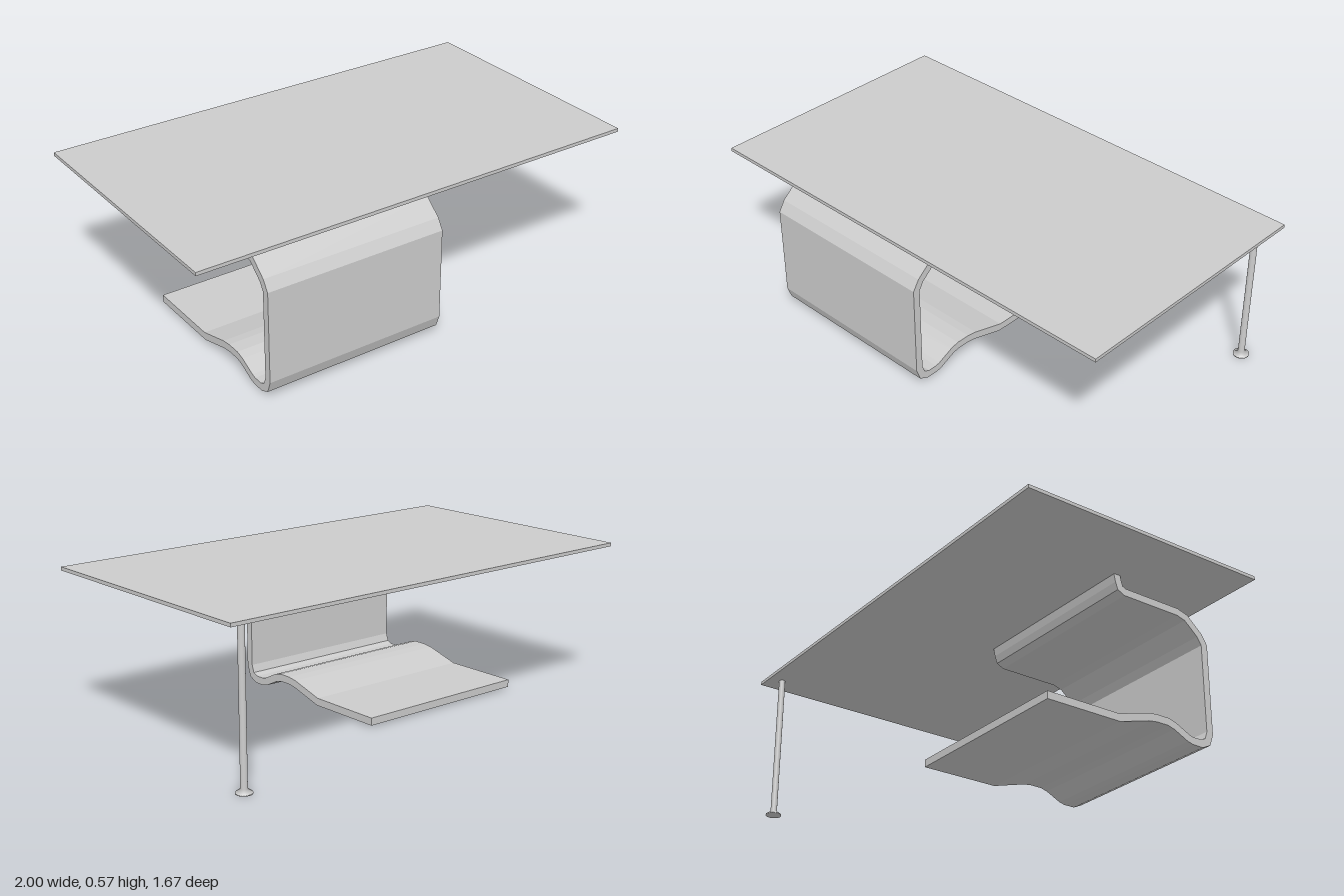
import * as THREE from 'three';

const material = new THREE.MeshStandardMaterial({ color: 0xcccccc });

function addMesh(parent, geometry, name) {
  const mesh = new THREE.Mesh(geometry, material);
  mesh.name = name;
  parent.add(mesh);
  return mesh;
}

// Outline of a bent sheet: offsets a centre line to both sides with mitred corners
function sheetShape(line, thickness) {
  const pts = line.map(([x, y]) => new THREE.Vector2(x, y));
  const normals = pts.slice(1).map((p, i) => {
    const d = p.clone().sub(pts[i]).normalize();
    return new THREE.Vector2(-d.y, d.x);
  });
  const upper = [], lower = [];
  pts.forEach((p, i) => {
    const a = normals[Math.max(i - 1, 0)];
    const b = normals[Math.min(i, normals.length - 1)];
    const m = a.clone().add(b).normalize();
    m.multiplyScalar(thickness / 2 / m.dot(a));
    upper.push(p.clone().add(m));
    lower.push(p.clone().sub(m));
  });
  return new THREE.Shape([...upper, ...lower.reverse()]);
}

export function createModel() {
  const group = new THREE.Group();
  group.name = 'desk';

  // Everything is laid out along the table, then turned as a whole
  const desk = new THREE.Group();
  desk.name = 'turnedDesk';
  desk.rotation.y = 0.478;
  group.add(desk);

  // Thin rectangular top
  addMesh(desk, new THREE.BoxGeometry(1.744, 0.013, 0.98), 'tableTop')
    .position.y = 0.5685;

  // Bent sheet support: foot plate, hump, trough, upright, upper shelf, lip
  const profile = [
    [-0.23, 0.021], [0.069, 0.021], [0.2, 0.058], [0.235, 0.063],
    [0.285, 0.063], [0.315, 0.055], [0.375, 0.026], [0.395, 0.021],
    [0.435, 0.021], [0.463, 0.034], [0.476, 0.07], [0.476, 0.408],
    [0.455, 0.442], [0.396, 0.493], [0.356, 0.504], [0.116, 0.504],
    [0.095, 0.514], [0.088, 0.535], [0.082, 0.563],
  ];
  const width = 0.698;
  const support = new THREE.ExtrudeGeometry(sheetShape(profile, 0.028), {
    depth: width, bevelEnabled: false,
  });
  support.rotateY(-Math.PI / 2).translate(0.078, 0, 0);
  addMesh(desk, support, 'bentSupport');

  // Slim leg with a flared foot at the far corner
  const legProfile = [
    [0, 0], [0.029, 0], [0.029, 0.004], [0.012, 0.016], [0.012, 0.563], [0, 0.563],
  ].map(([r, y]) => new THREE.Vector2(r, y));
  const leg = new THREE.LatheGeometry(legProfile, 24);
  addMesh(desk, leg, 'leg').position.set(0.795, 0, -0.438);

  return group;
}
